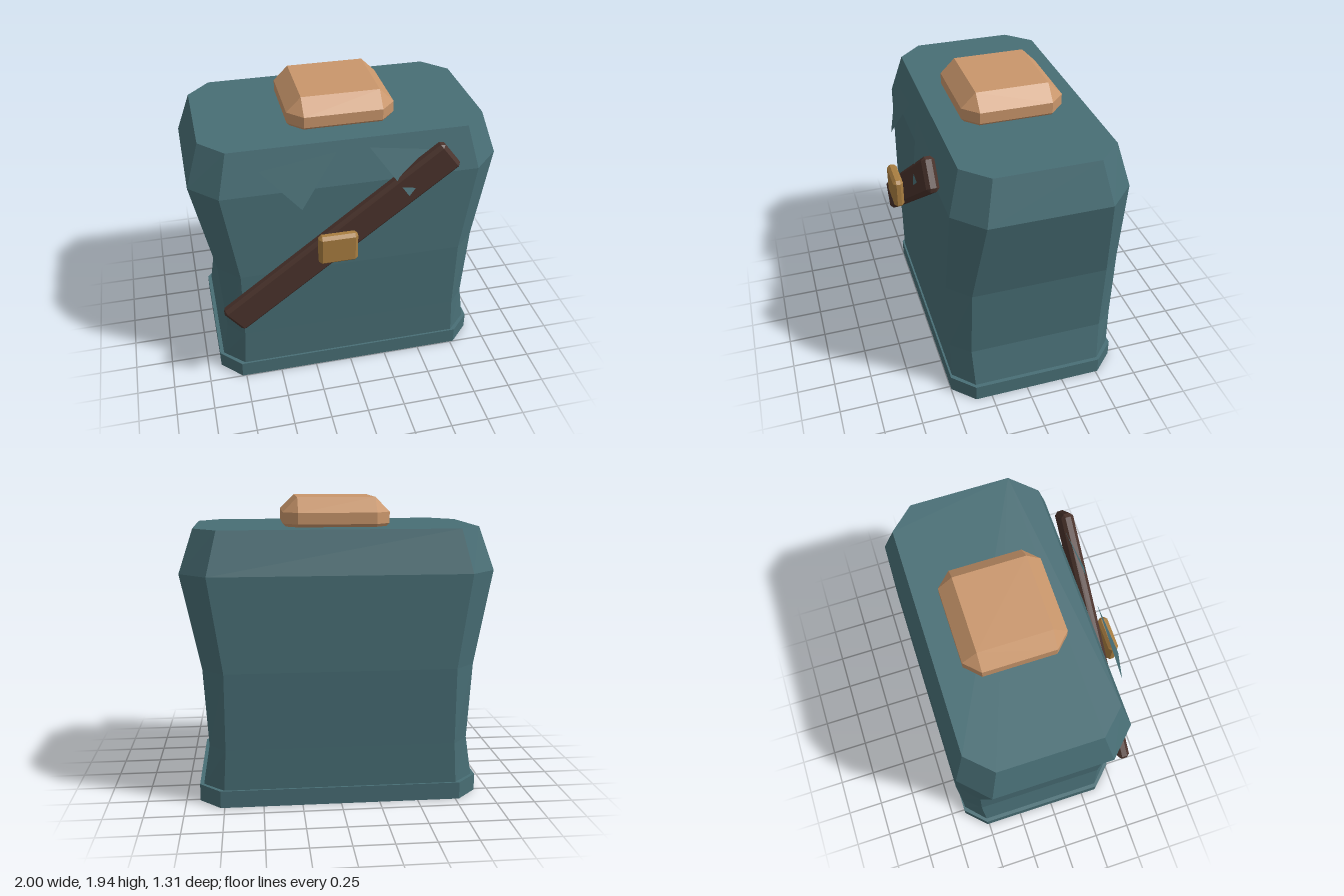
import * as THREE from 'three';
import { ConvexGeometry } from 'three/addons/geometries/ConvexGeometry.js';

const CZ = -0.077; // depth centre of the torso

// Octagonal ring; level = [y, half width, half depth, corner cut x, corner cut z]
function ring([y, a, b, cx, cz]) {
  return [
    [a, b - cz], [a - cx, b], [cx - a, b], [-a, b - cz],
    [-a, cz - b], [cx - a, -b], [a - cx, -b], [a, cz - b],
  ].map(([x, z]) => [x, y, z + CZ]);
}

// Closed faceted loft through a stack of rings
function loft(levels) {
  const rings = levels.map(ring);
  const pos = [];
  const tri = (...pts) => pts.forEach((p) => pos.push(...p));
  for (let k = 0; k < rings.length - 1; k++) {
    const lo = rings[k], up = rings[k + 1];
    for (let i = 0; i < 8; i++) {
      const j = (i + 1) % 8;
      tri(lo[j], lo[i], up[i]);
      tri(lo[j], up[i], up[j]);
    }
  }
  const bottom = rings[0], top = rings[rings.length - 1];
  for (let i = 1; i < 7; i++) {
    tri(bottom[0], bottom[i], bottom[i + 1]);
    tri(top[0], top[i + 1], top[i]);
  }
  const g = new THREE.BufferGeometry();
  g.setAttribute('position', new THREE.Float32BufferAttribute(pos, 3));
  g.computeVertexNormals();
  return g;
}

// Box with every edge and corner cut flat
function chamferBox(w, h, d, c) {
  const pts = [];
  for (const sx of [-1, 1]) for (const sy of [-1, 1]) for (const sz of [-1, 1]) {
    const x = w / 2, y = h / 2, z = d / 2;
    pts.push(
      new THREE.Vector3(sx * x, sy * (y - c), sz * (z - c)),
      new THREE.Vector3(sx * (x - c), sy * y, sz * (z - c)),
      new THREE.Vector3(sx * (x - c), sy * (y - c), sz * z),
    );
  }
  return new ConvexGeometry(pts);
}

export function createModel() {
  const material = (name, color, extra = {}) => {
    const m = new THREE.MeshStandardMaterial({ color, ...extra });
    m.name = name;
    return m;
  };
  const cloth = material('tealCloth', 0x486e75, { side: THREE.DoubleSide });
  const skin = material('skin', 0xc9966b);
  const leather = material('darkLeather', 0x4a332c);
  const brass = material('brass', 0xa87d40);

  const model = new THREE.Group();
  model.name = 'torso';
  const add = (name, geometry, mat, x = 0, y = 0, z = 0) => {
    const mesh = new THREE.Mesh(geometry, mat);
    mesh.name = name;
    mesh.position.set(x, y, z);
    model.add(mesh);
    return mesh;
  };

  // Tunic, narrow at the waist and broad at the shoulders
  add('tunic', loft([
    [0.10, 0.886, 0.562, 0.135, 0.13],
    [0.38, 0.84, 0.567, 0.105, 0.12],
    [0.88, 0.87, 0.578, 0.135, 0.132],
    [1.48, 1.0, 0.562, 0.175, 0.175],
    [1.755, 0.91, 0.487, 0.15, 0.158],
  ]), cloth);

  // Hem band at the foot
  add('hem', loft([
    [0, 0.91, 0.575, 0.135, 0.138],
    [0.112, 0.91, 0.575, 0.135, 0.138],
  ]), cloth);

  // Neck, partly sunk into the tunic
  add('neck', chamferBox(0.69, 0.26, 0.655, 0.094), skin, 0, 1.81, CZ);

  // Diagonal chest strap and its buckle
  const strap = add('strap', chamferBox(1.79, 0.215, 0.08, 0.022), leather, -0.098, 1.112, 0.537);
  strap.rotation.set(0, 0.005, 0.651);
  add('buckle', chamferBox(0.25, 0.208, 0.068, 0.02), brass, -0.123, 1.115, 0.625);

  // Pointed collar flaps, tips standing away from the chest
  for (const [name, s] of [['leftCollarFlap', 1], ['rightCollarFlap', -1]]) {
    const outer = [s * 0.583, 1.655, 0.495];
    const inner = [s * 0.1, 1.735, 0.5];
    const tip = [s * 0.338, 1.408, 0.592];
    const corners = s > 0 ? [inner, tip, outer] : [outer, tip, inner];
    const flap = new THREE.BufferGeometry();
    flap.setAttribute('position', new THREE.Float32BufferAttribute(corners.flat(), 3));
    flap.computeVertexNormals();
    add(name, flap, cloth);
  }

  return model;
}
